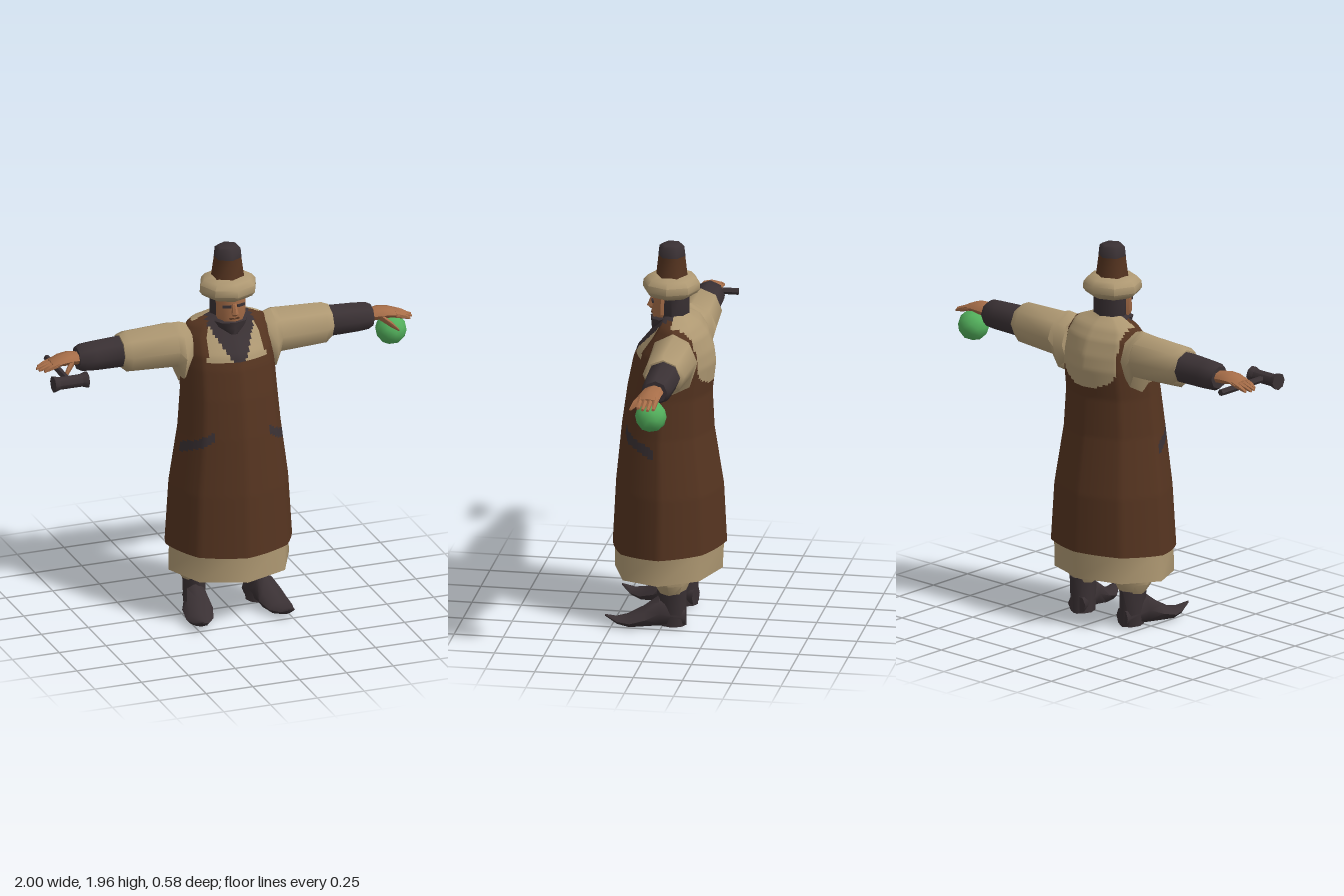
import * as THREE from 'three';
import { toCreasedNormals } from 'three/addons/utils/BufferGeometryUtils.js';

const mat = (name, color) => Object.assign(new THREE.MeshStandardMaterial({ color }), { name });

// Closed tube along an axis. Row: [t, a, b, ra, rb]; (a, b) is (y, z) for x, (z, x) for y, (x, y) for z.
function loft(axis, rows, sides = 8, capped = true) {
  const pos = [], idx = [];
  const put = (t, a, b) => pos.push(...(axis === 'x' ? [t, a, b] : axis === 'y' ? [b, t, a] : [a, b, t]));
  for (const [t, a, b, ra, rb] of rows) {
    for (let j = 0; j < sides; j++) {
      const q = (j / sides) * Math.PI * 2;
      put(t, a + ra * Math.cos(q), b + rb * Math.sin(q));
    }
  }
  for (let i = 0; i < rows.length - 1; i++) {
    for (let j = 0; j < sides; j++) {
      const k = (j + 1) % sides, p = i * sides, n = p + sides;
      idx.push(p + j, p + k, n + k, p + j, n + k, n + j);
    }
  }
  if (capped) {
    const last = rows.length - 1, c = rows.length * sides;
    put(rows[0][0], rows[0][1], rows[0][2]);
    put(rows[last][0], rows[last][1], rows[last][2]);
    for (let j = 0; j < sides; j++) {
      const k = (j + 1) % sides;
      idx.push(c, k, j, c + 1, last * sides + j, last * sides + k);
    }
  }
  const g = new THREE.BufferGeometry();
  g.setAttribute('position', new THREE.Float32BufferAttribute(pos, 3));
  g.setIndex(idx);
  return g;
}

// Mirrored copy in x, keeping the faces outward
function mirror(geo) {
  const g = geo.clone().scale(-1, 1, 1), ix = g.index.array;
  for (let i = 0; i < ix.length; i += 3) [ix[i], ix[i + 1]] = [ix[i + 1], ix[i]];
  return g;
}

// Robe rings: [y, half width, front z, back z]
const RINGS = [
  [0.39, 0.335, 0.285, -0.295], [0.7, 0.315, 0.268, -0.28], [1.0, 0.272, 0.238, -0.232],
  [1.2, 0.255, 0.21, -0.222], [1.35, 0.25, 0.18, -0.24], [1.42, 0.245, 0.155, -0.23],
  [1.5, 0.235, 0.09, -0.2], [1.555, 0.2, 0.05, -0.16], [1.59, 0.11, 0.03, -0.11], [1.61, 0.06, 0.02, -0.09],
];
function ringAt(y) {
  let i = 0;
  while (i < RINGS.length - 2 && y > RINGS[i + 1][0]) i++;
  const f = (y - RINGS[i][0]) / (RINGS[i + 1][0] - RINGS[i][0]);
  return RINGS[i].map((v, k) => THREE.MathUtils.lerp(v, RINGS[i + 1][k], f));
}

// Colour regions of the robe: 0 apron, 1 shirt, 2 dark collar and pocket trim
function region(x, y, z) {
  const w = Math.abs(x), inner = 0.155 - Math.max(0, y - 1.4) * 0.2;
  if (z > 0.03 && w > 0.145 && w < 0.28 && Math.abs(y - 1.015 + (w - 0.15) * 0.7) < 0.024) return 2;
  if (y > 1.1 && z > -0.04) {
    if (y < 1.385 || w > inner) return 0;
    return w < 0.03 + (y - 1.385) * 0.55 ? 2 : 1;
  }
  return y > 1.26 + Math.pow(w / 0.17, 4) * 0.07 && w < 0.175 ? 1 : 0;
}

function robeGeometry() {
  const S = 96, R = 100, pos = [], idx = [[], [], []];
  for (let i = 0; i <= R; i++) {
    const [y, rx, zf, zb] = ringAt(0.39 + (1.22 * i) / R);
    for (let j = 0; j < S; j++) {
      // eight-sided ring, slightly rounded
      const q = (j / S) * Math.PI * 2, step = Math.PI / 4;
      const d = ((q + 1e-9) % step) - step / 2;
      const k = (1 + Math.cos(step / 2) / Math.cos(d)) / 2;
      const x = k * rx * Math.sin(q), z = (zf + zb) / 2 + (k * (zf - zb) / 2) * Math.cos(q);
      pos.push(x, y - z * 0.05 * Math.max(0, 1 - (y - 0.39) / 0.3), z);
    }
  }
  for (let i = 0; i < R; i++) {
    for (let j = 0; j < S; j++) {
      const a = i * S + j, b = i * S + ((j + 1) % S), c = b + S, d = a + S;
      const mid = (n) => (pos[a * 3 + n] + pos[c * 3 + n]) / 2;
      idx[region(mid(0), mid(1), mid(2))].push(a, b, c, a, c, d);
    }
  }
  const g = new THREE.BufferGeometry();
  g.setAttribute('position', new THREE.Float32BufferAttribute(pos, 3));
  g.setIndex(idx.flat());
  let start = 0;
  idx.forEach((list, m) => { g.addGroup(start, list.length, m); start += list.length; });
  g.computeVertexNormals();
  return g;
}

export function createModel() {
  const model = new THREE.Group();
  const brown = mat('brown leather', 0x553420), beige = mat('beige wool', 0xae9872);
  const dark = mat('dark cloth', 0x3a3134), skin = mat('skin', 0xa66d48), green = mat('green', 0x53b05c);
  beige.side = THREE.DoubleSide; // the skirt hem is open

  const add = (name, geo, material, parent = model) => {
    const m = new THREE.Mesh(geo, material);
    m.name = name;
    parent.add(m);
    return m;
  };
  const smooth = (geo, crease = 0.95) => toCreasedNormals(geo, crease);
  const pair = (name, geo, material) => {
    add('left' + name, smooth(geo), material);
    add('right' + name, smooth(mirror(geo)), material);
  };

  // Robe with apron, and the skirt hem below it
  add('robe', robeGeometry(), [brown, beige, dark]);
  const hem = loft('y', [[0.25, 0, 0, 0.273, 0.322], [0.41, -0.003, 0, 0.277, 0.318]], 8, false);
  const hp = hem.attributes.position;
  for (let i = 0; i < hp.count; i++) if (hp.getY(i) < 0.3) hp.setY(i, 0.25 - hp.getZ(i) * 0.045);
  add('skirtHem', smooth(hem), beige);
  const under = new THREE.CircleGeometry(1, 8).rotateX(Math.PI / 2).scale(0.325, 1, 0.28);
  add('apronUnderside', under, brown).position.y = 0.4;

  // Legs and curled boots
  pair('Trouser', loft('y', [[0.16, -0.045, 0.165, 0.058, 0.055], [0.23, -0.04, 0.167, 0.095, 0.1],
    [0.4, -0.03, 0.16, 0.1, 0.1]]), beige);
  pair('BootShaft', loft('y', [[0.005, -0.05, 0.165, 0.068, 0.056], [0.19, -0.045, 0.17, 0.076, 0.06]]), dark);
  const foot = [[-0.06, 0.05, 0, 0.1], [0.07, 0.06, 0, 0.16], [0.14, 0.078, 0, 0.105], [0.22, 0.068, 0, 0.06],
    [0.28, 0.04, 0.015, 0.05], [0.34, 0.005, 0.055, 0.065]];
  const footGeo = loft('z', foot.map(([z, w, lo, hi]) => [z, 0, (lo + hi) / 2, w, (hi - lo) / 2]));
  pair('BootFoot', footGeo.rotateY(0.22).translate(0.168, 0, -0.05), dark);

  // Arms
  pair('Sleeve', loft('x', [[0.2, 1.415, -0.06, 0.13, 0.11], [0.245, 1.4, -0.06, 0.16, 0.125],
    [0.275, 1.435, -0.072, 0.12, 0.12], [0.52, 1.437, -0.068, 0.11, 0.107], [0.558, 1.445, -0.07, 0.085, 0.09]]), beige);
  pair('Forearm', loft('x', [[0.54, 1.44, -0.073, 0.083, 0.086], [0.7, 1.437, -0.073, 0.078, 0.08],
    [0.755, 1.437, -0.073, 0.074, 0.074], [0.785, 1.437, -0.073, 0.058, 0.06]]), dark);

  // Hands
  pair('Palm', loft('x', [[0.77, 1.44, -0.07, 0.032, 0.042], [0.83, 1.447, -0.066, 0.033, 0.054],
    [0.88, 1.447, -0.06, 0.025, 0.057], [0.93, 1.432, -0.06, 0.018, 0.052]]), skin);
  [0.985, 1.0, 0.995, 0.975].forEach((tip, i) => {
    const z = -0.098 + i * 0.026;
    pair('Finger' + (i + 1), loft('x', [[0.9, 1.44, z, 0.017, 0.015], [0.95, 1.425, z, 0.014, 0.013],
      [tip, 1.412, z, 0.007, 0.008]], 6), skin);
  });
  pair('Thumb', loft('x', [[0.82, 1.437, -0.035, 0.02, 0.025], [0.865, 1.405, 0.008, 0.017, 0.018],
    [0.898, 1.378, 0.033, 0.006, 0.007]], 6), skin);

  // Ball under the left hand
  add('ball', new THREE.IcosahedronGeometry(0.08, 1), green).position.set(0.893, 1.347, -0.07);

  // Hammer in the right hand
  const hammer = new THREE.Group();
  hammer.name = 'hammer';
  hammer.position.set(-0.9, 1.41, 0);
  model.add(hammer);
  add('hammerHandle', smooth(loft('z', [[-0.19, 0, 0, 0.017, 0.017], [0.12, 0, 0, 0.017, 0.017]], 6)), dark, hammer);
  add('hammerHead', smooth(loft('x', [[-0.09, 0, 0.14, 0.044, 0.044], [-0.06, 0, 0.14, 0.034, 0.034],
    [0.06, 0, 0.14, 0.034, 0.034], [0.09, 0, 0.14, 0.044, 0.044]], 8), 0.8), dark, hammer);

  // Head: hair, face, beard
  add('hair', smooth(loft('y', [[1.55, -0.04, 0, 0.06, 0.07], [1.59, -0.03, 0, 0.075, 0.09],
    [1.72, -0.03, 0, 0.075, 0.09]])), dark);
  add('face', smooth(loft('y', [[1.555, 0.03, 0, 0.05, 0.055], [1.6, 0.03, 0, 0.058, 0.078],
    [1.72, 0.025, 0, 0.055, 0.08]])), skin);
  add('beard', smooth(loft('y', [[1.51, 0.075, 0, 0.012, 0.02], [1.545, 0.045, 0, 0.045, 0.07],
    [1.575, 0.032, 0, 0.061, 0.088], [1.585, 0.01, 0, 0.06, 0.088]])), dark);
  add('nose', smooth(loft('y', [[1.612, 0.085, 0, 0.01, 0.014], [1.625, 0.088, 0, 0.024, 0.019],
    [1.675, 0.08, 0, 0.01, 0.01]], 6)), skin);
  add('mouth', new THREE.BoxGeometry(0.05, 0.008, 0.008), brown).position.set(0, 1.597, 0.083);
  for (const s of [-1, 1]) {
    const brow = add(s > 0 ? 'leftBrow' : 'rightBrow', new THREE.BoxGeometry(0.045, 0.013, 0.008), dark);
    brow.position.set(s * 0.038, 1.662, 0.076);
    brow.rotation.y = s * 0.3;
  }

  // Fur-brimmed hat
  add('hatBrim', smooth(loft('y', [[1.69, -0.013, 0, 0.105, 0.11], [1.705, -0.013, 0, 0.13, 0.135],
    [1.725, -0.013, 0, 0.145, 0.15], [1.76, -0.013, 0, 0.143, 0.148], [1.785, -0.013, 0, 0.12, 0.125],
    [1.795, -0.013, 0, 0.08, 0.08]])), beige);
  add('hatCrown', smooth(loft('y', [[1.77, -0.015, 0, 0.082, 0.088], [1.895, -0.015, 0, 0.068, 0.07]], 6), 1.2), brown);
  add('hatTop', smooth(loft('y', [[1.895, -0.015, 0, 0.069, 0.071], [1.945, -0.015, 0, 0.063, 0.066],
    [1.955, -0.015, 0, 0.05, 0.052]], 6), 1.2), dark);

  return model;
}
